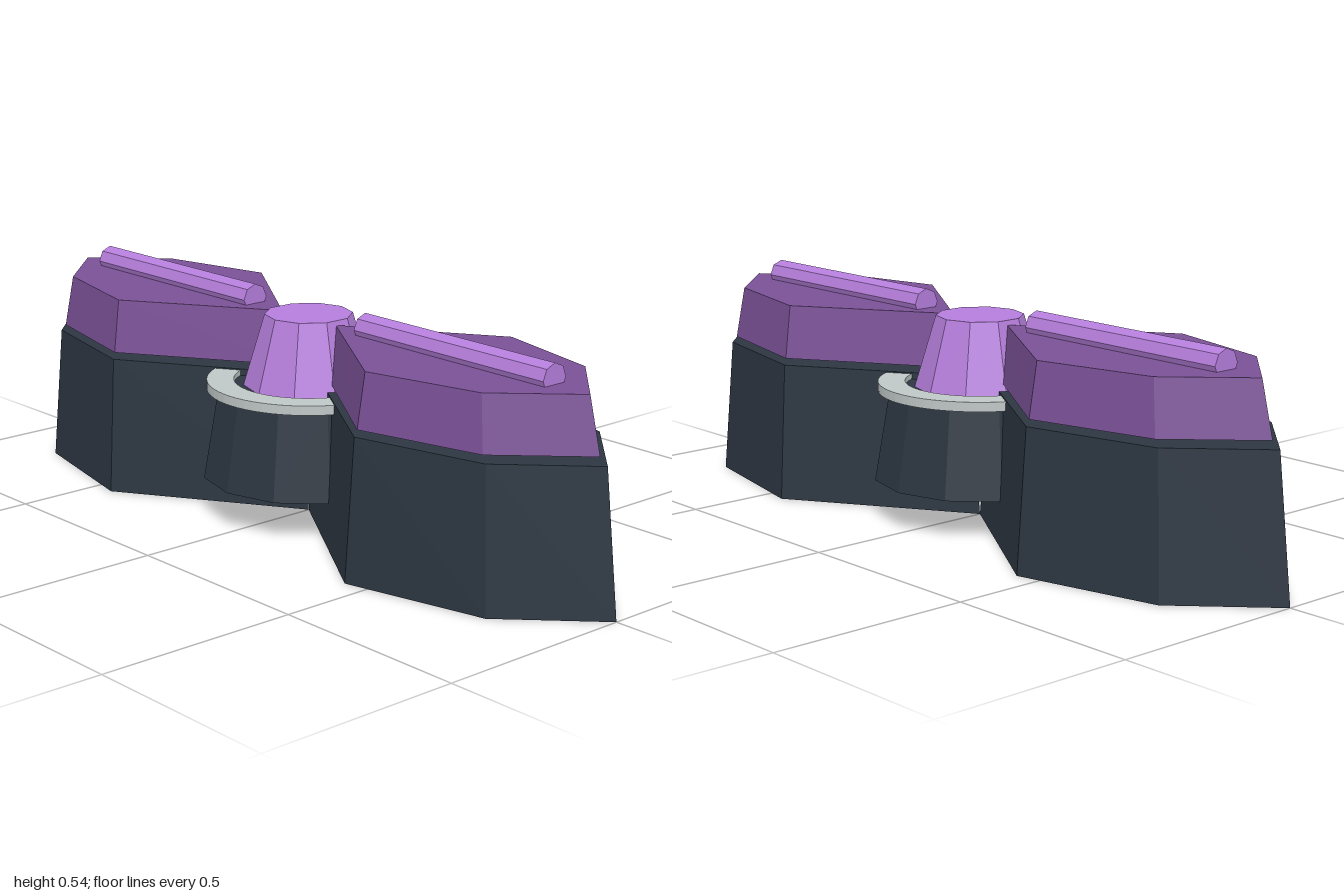
import * as THREE from 'three';

const paint = (name, color) => {
  const m = new THREE.MeshStandardMaterial({ color, flatShading: true });
  m.name = name;
  return m;
};

// Half-wing outline measured from the wing centre: [x, z]
const OUTLINE = [[-0.5, 0], [-0.06, -0.28], [0.3, -0.197], [0.5, 0], [0.3, 0.197], [-0.06, 0.28]];
const WING_X = 0.5;

// Tapered slab: outline scaled by [x, z] factors at the bottom and the top
function taperedSlab(y0, y1, low, high) {
  const shape = new THREE.Shape(OUTLINE.map(([x, z]) => new THREE.Vector2(x, z)));
  const geo = new THREE.ExtrudeGeometry(shape, { depth: 1, bevelEnabled: false });
  geo.rotateX(-Math.PI / 2);
  const p = geo.attributes.position;
  for (let i = 0; i < p.count; i++) {
    const top = p.getY(i) > 0.5;
    const [sx, sz] = top ? high : low;
    p.setXYZ(i, p.getX(i) * sx, top ? y1 : y0, p.getZ(i) * sz);
  }
  geo.computeVertexNormals();
  return geo;
}

function cone(rTop, rBottom, y0, y1, sides) {
  return new THREE.CylinderGeometry(rTop, rBottom, y1 - y0, sides).translate(0, (y0 + y1) / 2, 0);
}

export function createModel() {
  const model = new THREE.Group();
  model.name = 'twinWingDevice';

  const dark = paint('darkSlate', 0x2c3641);
  const purple = paint('deepPurple', 0x7a5196);
  const lilac = paint('lilac', 0xb57edc);
  const silver = paint('silver', 0xc0c7c7);

  const add = (parent, name, geo, mat) => {
    const mesh = new THREE.Mesh(geo, mat);
    mesh.name = name;
    parent.add(mesh);
    return mesh;
  };

  // Two mirrored wings: dark base, floating purple cap, lilac rod
  const base = taperedSlab(0, 0.341, [1, 1], [0.918, 0.922]);
  const cap = taperedSlab(0.357, 0.488, [0.874, 0.9], [0.806, 0.832]);
  const rod = new THREE.CylinderGeometry(0.036, 0.036, 0.6, 8)
    .rotateX(0).rotateZ(Math.PI / 2).translate(0, 0.501, 0);
  for (const side of [1, -1]) {
    const wing = new THREE.Group();
    wing.name = side > 0 ? 'leftWing' : 'rightWing';
    add(wing, 'wingBase', base, dark);
    add(wing, 'wingCap', cap, purple);
    add(wing, 'wingRod', rod, lilac);
    wing.position.x = side * WING_X;
    wing.rotation.y = side > 0 ? 0 : Math.PI;
    model.add(wing);
  }

  // Central hub
  add(model, 'hubBase', cone(0.222, 0.26, 0.1, 0.325, 12), dark);
  add(model, 'hubKnob', cone(0.107, 0.16, 0.322, 0.5, 10), lilac);

  // Flat ring around the hub
  const ringShape = new THREE.Shape().absarc(0, 0, 0.248, 0, Math.PI * 2, false);
  ringShape.holes.push(new THREE.Path().absarc(0, 0, 0.182, 0, Math.PI * 2, true));
  const ring = new THREE.ExtrudeGeometry(ringShape, { depth: 0.023, bevelEnabled: false, curveSegments: 32 });
  ring.rotateX(-Math.PI / 2).translate(0, 0.315, 0);
  add(model, 'hubRing', ring, silver);

  return model;
}
